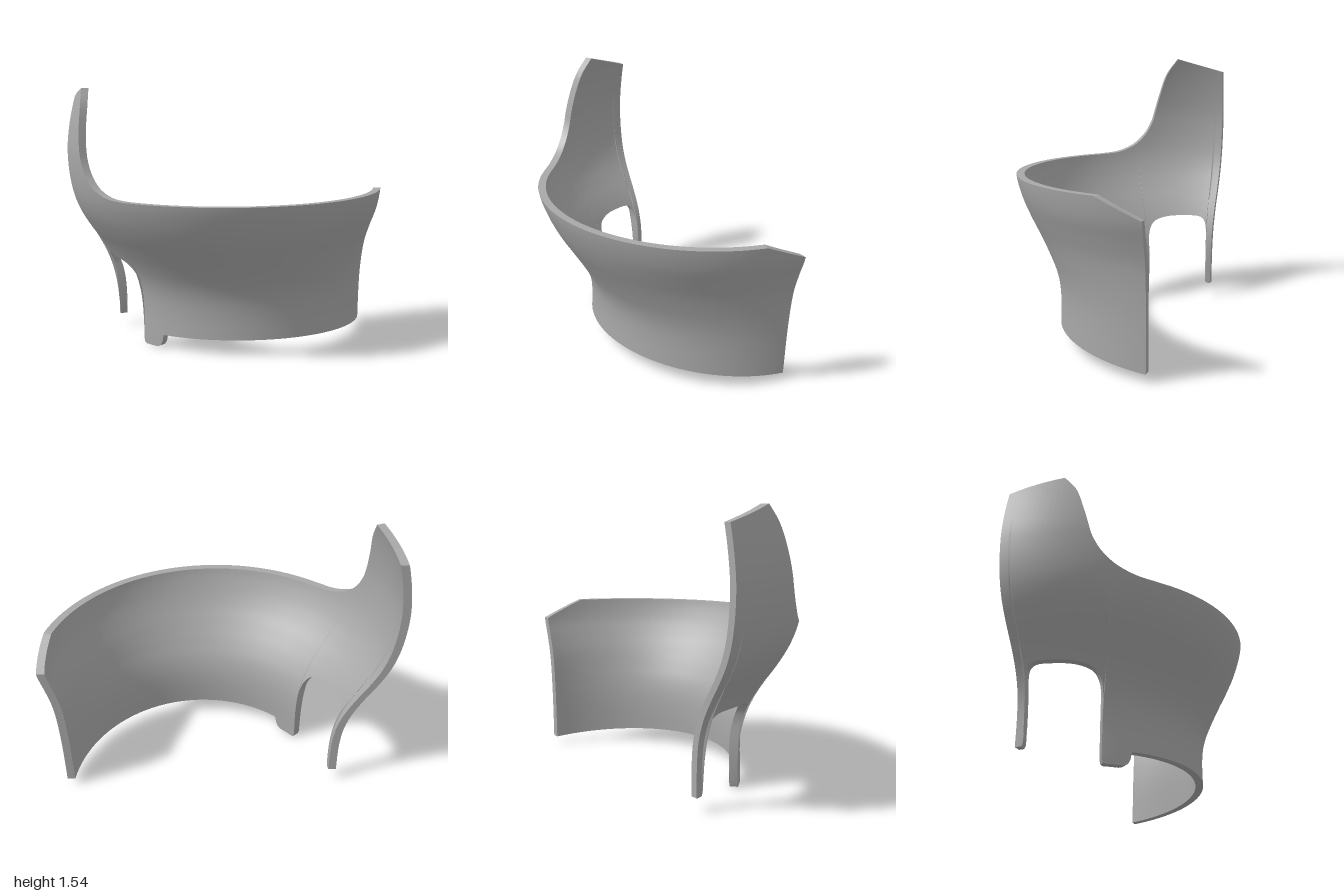
import * as THREE from 'three';
import { toCreasedNormals } from 'three/addons/utils/BufferGeometryUtils.js';

const THICK = 0.045, CUT = -0.49;

// Horizontal sections by height: y, then right x, left x, front z, centre z
const SECTIONS = [
  [0, -0.705, 0.895, 0.21, -0.59], [0.3, -0.71, 0.9, 0.21, -0.59],
  [0.4, -0.725, 0.903, 0.235, -0.58], [0.5, -0.76, 0.908, 0.285, -0.565],
  [0.6, -0.815, 0.92, 0.345, -0.55], [0.7, -0.88, 0.945, 0.405, -0.53],
  [0.8, -0.935, 0.975, 0.452, -0.51], [0.92, -0.975, 0.993, 0.49, -0.5],
  [1.15, -1, 1, 0.5, -0.5], [1.3, -0.987, 0.985, 0.49, -0.5],
  [1.45, -0.957, 0.955, 0.46, -0.5], [1.56, -0.925, 0.925, 0.43, -0.5],
];
const section = new THREE.CubicInterpolant(
  SECTIONS.map((r) => r[0]), SECTIONS.flatMap((r) => r.slice(1)), 4, new Float32Array(4));

// Point on the shell: s runs 0..1 round the front, inset is 0 outside and 1 inside
function shellPoint(s, y, inset) {
  const [l, r, f, zc] = section.evaluate(y);
  const a = (r - l) / 2, b = f - zc;
  const t0 = Math.asin((CUT - zc) / b);
  const t = t0 + s * (Math.PI - 2 * t0);
  // widen the horizontal offset where the wall leans
  const lean = (section.evaluate(y + 0.02)[2] - section.evaluate(y - 0.02)[2]) / 0.04;
  const d = inset * THICK * Math.sqrt(1 + lean * lean * Math.sin(t) ** 2);
  const n = new THREE.Vector2(Math.cos(t) / a, Math.sin(t) / b).normalize();
  const x = (r + l) / 2 + a * Math.cos(t) - n.x * d;
  const z = zc + b * Math.sin(t) - n.y * d;
  return new THREE.Vector3(x, y, Math.max(z, CUT));
}

// Smooth run of [s, y] points
function smooth(points, count) {
  const curve = new THREE.CatmullRomCurve3(points.map(([s, y]) => new THREE.Vector3(s, y, 0)));
  return curve.getPoints(count).map((p) => [p.x, p.y]);
}

// Piecewise lookup of y at s
function lookup(line, s) {
  for (let i = 1; i < line.length; i++) {
    const [s0, y0] = line[i - 1], [s1, y1] = line[i];
    if (s <= s1) return s1 > s0 ? y0 + (y1 - y0) * Math.max(0, (s - s0) / (s1 - s0)) : y1;
  }
  return line[line.length - 1][1];
}

// Grid surface from a point function of column and row
function gridSurface(cols, rows, pointAt, flip) {
  const pos = [], index = [];
  for (let i = 0; i < cols; i++) {
    for (let j = 0; j < rows; j++) pos.push(...pointAt(i, j).toArray());
  }
  for (let i = 0; i < cols - 1; i++) {
    for (let j = 0; j < rows - 1; j++) {
      const a = i * rows + j, b = a + 1, c = a + rows, d = c + 1;
      if (flip) index.push(a, c, b, b, c, d);
      else index.push(a, b, c, b, d, c);
    }
  }
  const g = new THREE.BufferGeometry();
  g.setAttribute('position', new THREE.Float32BufferAttribute(pos, 3));
  g.setIndex(index);
  g.computeVertexNormals();
  return g;
}

export function createModel() {
  const group = new THREE.Group();
  group.name = 'curvedShell';
  const grey = new THREE.MeshStandardMaterial({ color: 0xa8a8a8 });
  grey.name = 'grey';

  // Upper outline: chamfered left corner, level rim, tall right wing
  const top = [
    [0, 0.82], [0.08, 0.925],
    ...smooth([[0.72, 0.922], [0.76, 0.93], [0.795, 0.965], [0.822, 1.03], [0.84, 1.12],
      [0.848, 1.2], [0.857, 1.3], [0.873, 1.45], [0.896, 1.545]], 40),
    [1, 1.46],
  ];

  // Lower outline: sloping hem, small tab, arched notch, thin leg
  const hem = [];
  for (let i = 0; i <= 30; i++) {
    const s = (i / 30) * 0.735;
    hem.push([s, 0.08 + 0.0714 * shellPoint(s, 0.08, 0).z]);
  }
  const bottom = [
    ...hem,
    ...smooth([[0.737, 0.07], [0.741, 0.035], [0.749, 0.01], [0.76, 0.002]], 8),
    [0.798, 0], [0.805, 0.006], [0.8075, 0.025],
    ...smooth([[0.808, 0.3], [0.81, 0.39], [0.818, 0.45], [0.836, 0.495], [0.873, 0.518],
      [0.92, 0.522], [0.957, 0.518], [0.971, 0.5], [0.979, 0.45], [0.981, 0.38]], 40),
    [0.9815, 0.1], [0.985, 0.082], [1, 0.08],
  ];

  // Columns at even steps plus every outline corner
  const stops = [...top, ...bottom].map((p) => p[0]);
  for (let i = 0; i <= 150; i++) stops.push(i / 150);
  stops.sort((a, b) => a - b);
  const columns = stops.filter((s, i) => i === 0 || s - stops[i - 1] > 1e-5);
  const low = columns.map((s) => lookup(bottom, s));
  const high = columns.map((s) => lookup(top, s));
  const n = columns.length, rows = 41;

  const add = (name, geometry) => {
    const mesh = new THREE.Mesh(geometry, grey);
    mesh.name = name;
    group.add(mesh);
  };
  const wallPoint = (i, j, inset) =>
    shellPoint(columns[i], low[i] + (high[i] - low[i]) * (j / (rows - 1)), inset);

  // Walls
  add('outerWall', gridSurface(n, rows, (i, j) => wallPoint(i, j, 0), false));
  add('innerWall', gridSurface(n, rows, (i, j) => wallPoint(i, j, 1), true));

  // Rims closing the thickness above and below
  const rim = (edge, flip) => toCreasedNormals(
    gridSurface(n, 2, (i, j) => shellPoint(columns[i], edge[i], j), flip), 0.5);
  add('topRim', rim(high, false));
  add('bottomRim', rim(low, true));

  // Flat back ends
  add('leftEnd', gridSurface(2, rows, (i, j) => wallPoint(0, j, i), true));
  add('rightEnd', gridSurface(2, rows, (i, j) => wallPoint(n - 1, j, i), false));

  return group;
}
